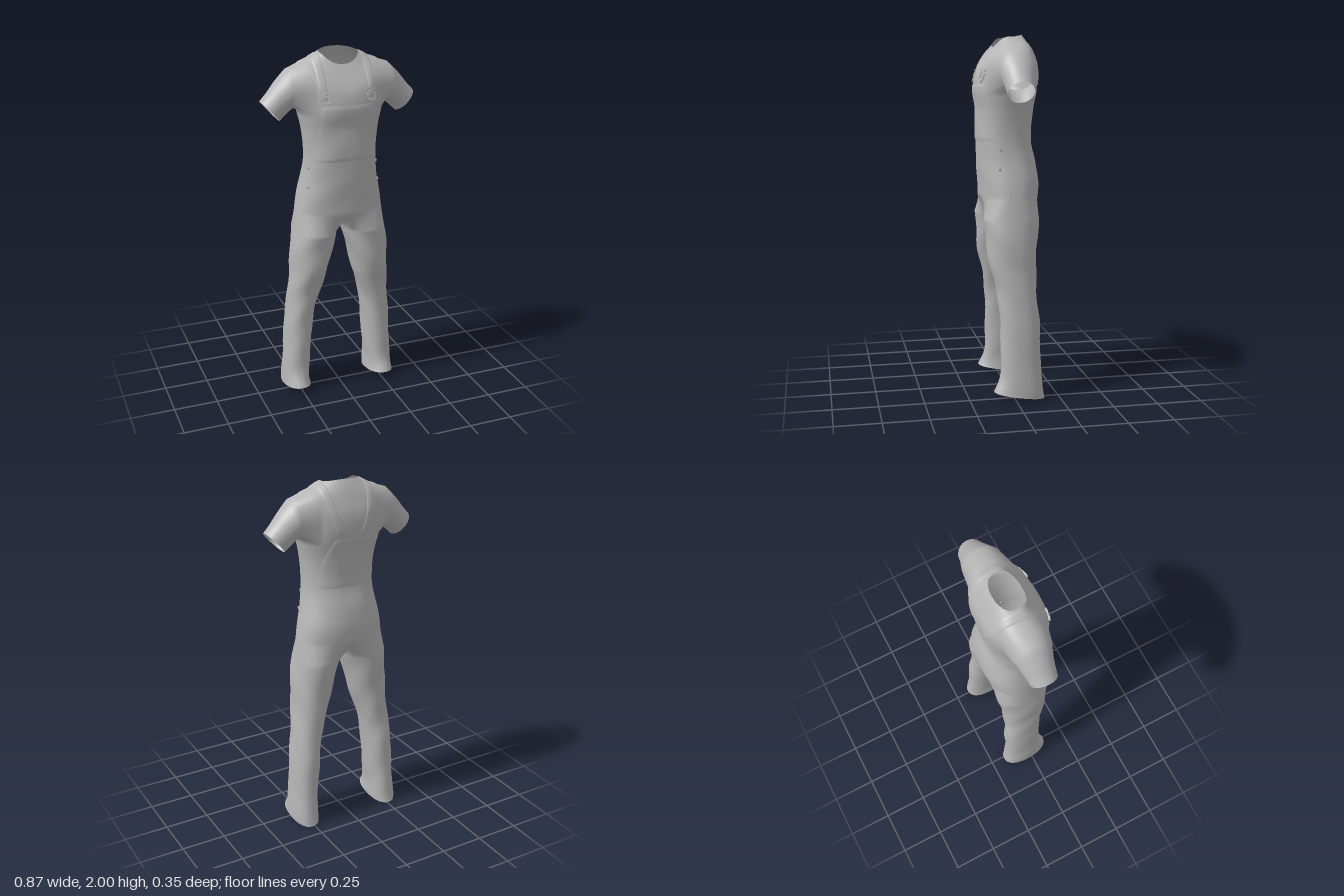
import * as THREE from 'three';
import { mergeVertices } from 'three/addons/utils/BufferGeometryUtils.js';

const cloth = new THREE.MeshStandardMaterial({ color: 0xb6b6b6, side: THREE.DoubleSide });
cloth.name = 'grey cloth';

// signed power, for slightly squared ellipses
const sp = (v, p) => Math.sign(v) * Math.abs(v) ** p;

// smooth in-between rows (Catmull-Rom on every component)
function densify(rows, n) {
  const out = [];
  for (let i = 0; i < rows.length - 1; i++) {
    const a = rows[Math.max(i - 1, 0)], b = rows[i], c = rows[i + 1], d = rows[Math.min(i + 2, rows.length - 1)];
    for (let k = 0; k < n; k++) {
      const t = k / n;
      out.push(b.map((_, j) => {
        const cubic = 3 * (b[j] - c[j]) + d[j] - a[j];
        const square = 2 * a[j] - 5 * b[j] + 4 * c[j] - d[j];
        return b[j] + 0.5 * t * (c[j] - a[j] + t * (square + t * cubic));
      }));
    }
  }
  out.push(rows[rows.length - 1]);
  return out;
}

// trouser leg: y, inner x, outer x, front z, back z
const LEG = densify([
  [0.027, 0.185, 0.338, 0.115, -0.168],
  [0.1, 0.188, 0.334, 0.085, -0.157],
  [0.2, 0.18, 0.327, 0.075, -0.146],
  [0.4, 0.163, 0.317, 0.076, -0.145],
  [0.52, 0.148, 0.306, 0.082, -0.134],
  [0.62, 0.122, 0.296, 0.095, -0.13],
  [0.72, 0.092, 0.287, 0.12, -0.132],
  [0.82, 0.068, 0.283, 0.136, -0.138],
  [0.92, 0.042, 0.276, 0.142, -0.148],
  [1.0, 0.02, 0.265, 0.147, -0.158],
], 3);

// torso: front y, side y, back y, half width, front z, back z
const TORSO = densify([
  [1.1, 1.1, 1.1, 0.25, 0.148, -0.168],
  [1.2, 1.2, 1.2, 0.235, 0.155, -0.175],
  [1.3, 1.3, 1.3, 0.213, 0.16, -0.16],
  [1.4, 1.4, 1.4, 0.2, 0.165, -0.136],
  [1.5, 1.5, 1.5, 0.202, 0.164, -0.133],
  [1.6, 1.6, 1.6, 0.215, 0.165, -0.142],
  [1.68, 1.69, 1.68, 0.235, 0.174, -0.16],
  [1.75, 1.77, 1.75, 0.236, 0.171, -0.168],
  [1.81, 1.86, 1.83, 0.238, 0.155, -0.163],
  [1.87, 1.925, 1.9, 0.235, 0.115, -0.138],
  [1.91, 1.955, 1.955, 0.165, 0.088, -0.112],
  [1.93, 1.985, 1.998, 0.107, 0.075, -0.085],
], 3);

// sleeve: top x, top y, bottom x, bottom y, front z, back z
const SLEEVE = densify([
  [0.285, 1.91, 0.262, 1.7, 0.095, -0.116],
  [0.35, 1.845, 0.288, 1.68, 0.078, -0.1],
  [0.395, 1.79, 0.312, 1.658, 0.07, -0.088],
  [0.437, 1.745, 0.337, 1.635, 0.065, -0.08],
], 2);

const N = 24, M = 10;
const HOLE = { r0: LEG.length + 18, r1: LEG.length + 27, c0: 6, c1: 18 };

// leg section, with soft folds and a slanted hem
function legPoint([y, xi, xo, zf, zb], t, i) {
  const fold = i ? 1 + 0.025 * Math.sin(y * 26 + 3 * t) : 1;
  const z = (zf + zb) / 2 + (zf - zb) / 2 * sp(Math.cos(t), 0.88) * fold;
  const x = (xo + xi) / 2 + (xo - xi) / 2 * sp(Math.sin(t), 0.88) * fold;
  return new THREE.Vector3(x, y + z * 0.16 * Math.max(0, 1 - i / 4), z);
}

// half torso section, from front centre round to back centre
function torsoPoint([yf, ys, yb, hw, zf, zb], a) {
  const c = Math.cos(a);
  return new THREE.Vector3(hw * Math.abs(Math.sin(a)) ** 0.82,
    ys + c * c * ((c > 0 ? yf : yb) - ys),
    (zf + zb) / 2 + (zf - zb) / 2 * sp(c, 0.82) * (1 + 0.012 * Math.sin(yf * 30 + 4 * a)));
}

// one seamless garment skin: legs, torso and sleeves, mirrored in x
function bodyGeometry() {
  const pos = [];
  const tri = (...p) => {
    for (const v of p) pos.push(v.x, v.y, v.z);
    for (const v of p.reverse()) pos.push(-v.x, v.y, v.z);
  };
  const skin = (rows, closed, skip = () => false) => {
    for (let i = 0; i < rows.length - 1; i++) {
      const n = rows[i].length;
      for (let j = 0; j < (closed ? n : n - 1); j++) {
        if (skip(i, j)) continue;
        const k = (j + 1) % n;
        tri(rows[i][j], rows[i][k], rows[i + 1][k]);
        tri(rows[i][j], rows[i + 1][k], rows[i + 1][j]);
      }
    }
  };
  const arc = (n, f) => Array.from({ length: n + 1 }, (_, j) => f(j / n));
  const phi = 0.87;

  // outer wall from cuff to neck, with an armhole
  const outer = [
    ...LEG.map((r, i) => arc(N, s => legPoint(r, -phi + s * (Math.PI + 2 * phi), i))),
    ...TORSO.map(r => arc(N, s => torsoPoint(r, s * Math.PI))),
  ];
  const { r0, r1, c0, c1 } = HOLE;
  skin(outer, false, (i, j) => i >= r0 && i < r1 && j >= c0 && j < c1);

  // inner leg wall, closed by the crotch seam
  const inner = LEG.map((r, i) => arc(M, s => legPoint(r, Math.PI + phi + s * (Math.PI - 2 * phi), i)));
  const back = outer[LEG.length][N], front = outer[LEG.length][0];
  inner.push(arc(M, s => {
    const p = back.clone().lerp(front, s);
    p.y -= 0.07 * Math.sin(Math.PI * s);
    return p;
  }));
  skin(inner, false);

  // sleeve grown from the armhole edge
  const rim = [], ang = [];
  const side = (n, q, f) => {
    for (let k = 0; k < n; k++) {
      rim.push(f(k));
      ang.push((q - 0.5 + k / n) * Math.PI / 2);
    }
  };
  side(c1 - c0, 0, k => outer[r1][c1 - k]);
  side(r1 - r0, 1, k => outer[r1 - k][c0]);
  side(c1 - c0, 2, k => outer[r0][c0 + k]);
  side(r1 - r0, 3, k => outer[r0 + k][c1]);
  const rings = SLEEVE.map(([tx, ty, bx, by, zf, zb]) => ang.map(a => {
    const c = Math.cos(a) / 2;
    return new THREE.Vector3((tx + bx) / 2 + c * (tx - bx), (ty + by) / 2 + c * (ty - by),
      (zf + zb) / 2 + (zf - zb) / 2 * Math.sin(a));
  }));
  skin([rim, ...rings], true);

  const soup = new THREE.BufferGeometry();
  soup.setAttribute('position', new THREE.Float32BufferAttribute(pos, 3));
  const g = mergeVertices(soup, 1e-5);
  g.computeVertexNormals();
  return g;
}

export function createModel() {
  const model = new THREE.Group();
  const add = (name, geo, parent = model) => {
    const m = new THREE.Mesh(geo, cloth);
    m.name = name;
    parent.add(m);
    return m;
  };
  const body = add('garment', bodyGeometry());
  body.updateMatrixWorld();

  // first point of the garment met on the way between two points
  const V = (x, y, z) => new THREE.Vector3(x, y, z);
  const caster = new THREE.Raycaster();
  const hit = (from, to) => {
    const dir = to.clone().sub(from).normalize();
    caster.set(from, dir);
    const h = caster.intersectObject(body)[0];
    return { p: h ? h.point : to.clone(), dir };
  };

  // thin cloth panel laid onto the garment; ray(u, v) gives [from, to]
  function panel(name, nu, nv, ray) {
    const g = new THREE.PlaneGeometry(1, 1, nu, nv), P = g.attributes.position;
    for (let i = 0; i < P.count; i++) {
      const u = P.getX(i) + 0.5, v = P.getY(i) + 0.5;
      const { p, dir } = hit(...ray(u, v));
      const edge = Math.min(u, v, 1 - u, 1 - v) < 1e-4;
      p.addScaledVector(dir, edge ? -0.001 : -0.004);
      P.setXYZ(i, p.x, p.y, p.z);
    }
    g.computeVertexNormals();
    add(name, g);
  }

  // bib panel
  panel('bib', 24, 24, (u, v) => {
    const y = 1.42 + 0.31 * v, x = (u - 0.5) * 2 * (0.18 - 0.03 * v);
    return [V(x, y, 1), V(x, y, 0)];
  });
  // back panel, narrowing upward to the straps
  panel('backPanel', 24, 20, (u, v) => {
    const y = 1.42 + 0.28 * v, x = (u - 0.5) * 2 * (0.18 - 0.08 * v * v);
    return [V(x, y, -1), V(x, y, 0)];
  });

  for (const s of [1, -1]) {
    const label = s > 0 ? 'left' : 'right';
    // strap over the shoulder, drawing inward at the back
    panel(label + 'Strap', 6, 48, (u, v) => {
      const t = 0.05 + v * (Math.PI + 0.12);
      const x = s * (0.138 - 0.07 * Math.max(0, (v - 0.5) * 2) ** 1.6) + (u - 0.5) * 0.044;
      return [V(x, 1.75 + Math.sin(t), Math.cos(t)), V(x, 1.75, 0)];
    });

    // strap buckle: wire loop, two bars and a button
    const buckle = new THREE.Group();
    buckle.name = label + 'Buckle';
    buckle.position.copy(hit(V(s * 0.128, 1.775, 1), V(s * 0.128, 1.775, 0)).p);
    buckle.position.z += 0.006;
    buckle.rotation.set(-0.25, s * 0.25, 0);
    const loop = add('buckleLoop', new THREE.TorusGeometry(0.024, 0.003, 6, 20), buckle);
    loop.scale.y = 1.2;
    loop.position.y = -0.008;
    for (const y of [0.03, 0.008]) {
      add('buckleBar', new THREE.BoxGeometry(0.06, 0.008, 0.008), buckle).position.y = y;
    }
    const button = add('buckleButton', new THREE.CylinderGeometry(0.011, 0.011, 0.008, 16), buckle);
    button.rotation.x = Math.PI / 2;
    button.position.y = -0.028;
    model.add(buckle);

    // hip buttons
    for (const [y, z] of [[1.375, 0.062], [1.27, 0.07]]) {
      const b = add(label + 'HipButton', new THREE.CylinderGeometry(0.009, 0.009, 0.008, 14));
      b.position.copy(hit(V(s, y, z), V(0, y, z)).p);
      b.rotation.z = Math.PI / 2;
    }
  }
  return model;
}
